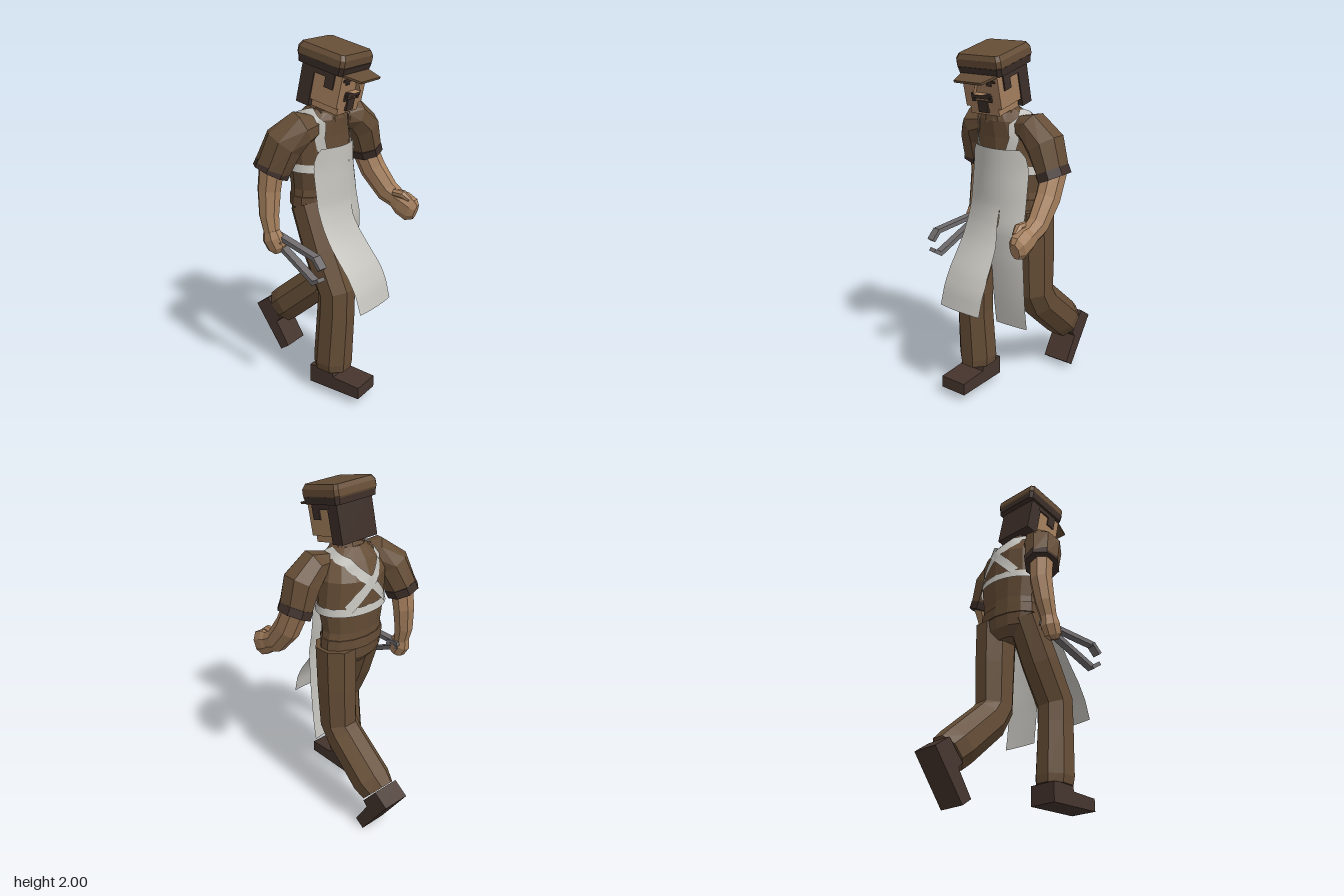
import * as THREE from 'three';

const V = (x, y, z) => new THREE.Vector3(x, y, z);
const rad = Math.PI / 180;

// Regular ring whose flat sides touch the given radius
const ringOf = n => Array.from({ length: n }, (_, k) => {
  const a = (k + 0.5) / n * Math.PI * 2, s = 1 / Math.cos(Math.PI / n);
  return [Math.cos(a) * s, Math.sin(a) * s];
});
const OCT = ringOf(8), ROUND = ringOf(14);
const SQUARE = [[1, -.88], [1, .88], [.88, 1], [-.88, 1], [-1, .88], [-1, -.88], [-.88, -1], [.88, -1]];

// Loft of rings along points [x, y, z, radius on ref axis, other radius]
function loft(pts, ref, ring = OCT, fixed = null) {
  const c = pts.map(p => V(p[0], p[1], p[2])), n = ring.length, pos = [];
  const rings = pts.map((p, i) => {
    const t = fixed ? fixed.clone()
      : c[Math.min(i + 1, c.length - 1)].clone().sub(c[Math.max(i - 1, 0)]).normalize();
    const u = ref.clone().addScaledVector(t, -ref.dot(t)).normalize();
    const v = t.clone().cross(u);
    return ring.map(([a, b]) => c[i].clone().addScaledVector(u, a * p[3]).addScaledVector(v, b * (p[4] ?? p[3])));
  });
  const tri = (...q) => q.forEach(p => pos.push(p.x, p.y, p.z));
  const last = c.length - 1;
  for (let k = 0; k < n; k++) {
    const m = (k + 1) % n;
    for (let i = 0; i < last; i++) {
      tri(rings[i][k], rings[i][m], rings[i + 1][m]);
      tri(rings[i][k], rings[i + 1][m], rings[i + 1][k]);
    }
    tri(c[0], rings[0][m], rings[0][k]);
    tri(c[last], rings[last][k], rings[last][m]);
  }
  const g = new THREE.BufferGeometry();
  g.setAttribute('position', new THREE.Float32BufferAttribute(pos, 3));
  g.computeVertexNormals();
  return g;
}

// Open sheet from a function of (column 0..1, row 0..1)
function sheet(fn, cols, rows) {
  const g = new THREE.PlaneGeometry(1, 1, cols, rows), p = g.attributes.position;
  for (let i = 0; i < p.count; i++) {
    const q = fn(p.getX(i) + 0.5, 0.5 - p.getY(i));
    p.setXYZ(i, q.x, q.y, q.z);
  }
  g.computeVertexNormals();
  return g;
}

// Piecewise linear lookup in rows [key, value...], keys rising
function look(table, key, col = 1) {
  let i = 0;
  while (i < table.length - 2 && key > table[i + 1][0]) i++;
  const a = table[i], b = table[i + 1];
  const f = THREE.MathUtils.clamp((key - a[0]) / (b[0] - a[0]), 0, 1);
  return a[col] + (b[col] - a[col]) * f;
}

export function createModel() {
  const model = new THREE.Group();
  const mat = (name, color, side = THREE.FrontSide) => {
    const m = new THREE.MeshStandardMaterial({ color, side });
    m.name = name;
    return m;
  };
  const cloth = mat('brown cloth', 0x654d36), skin = mat('skin', 0xa57f5d);
  const dark = mat('dark hair and trim', 0x3d2f29), leather = mat('boot leather', 0x45342d);
  const linen = mat('apron linen', 0xc6c4be, THREE.DoubleSide), iron = mat('iron', 0x6f6b6c);
  const add = (name, geo, material, parent = model) => {
    const m = new THREE.Mesh(geo, material);
    m.name = name;
    parent.add(m);
    return m;
  };
  const X = V(1, 0, 0), Y = V(0, 1, 0), Z = V(0, 0, 1);

  // Torso: [y, centre x, centre z, half width, half depth]
  const body = [[.98, .01, .02, .1, .07], [1.03, .01, .02, .18, .11], [1.12, .01, .02, .195, .12],
    [1.2, .005, .025, .185, .125], [1.34, 0, .035, .205, .148], [1.5, -.01, .035, .2, .148],
    [1.59, -.02, .065, .16, .125], [1.65, -.03, .085, .09, .085]];
  add('torso', loft(body.map(([y, x, z, a, b]) => [x, y, z, a, b]), X, ROUND, Y), cloth);
  add('shirtHem', loft([[.01, 1.1, .02, .2, .125], [.008, 1.16, .022, .198, .127]], X, ROUND, Y), cloth);
  add('collar', loft([[-.03, 1.6, .09, .105, .1], [-.035, 1.655, .1, .09, .085]], X), cloth);
  add('neck', loft([[-.03, 1.6, .1, .07], [-.035, 1.72, .13, .07]], X), skin);

  // Straps wrapped over the torso: points [angle from the front, height]
  const wrap = (a, y, off) => V(
    look(body, y, 1) + Math.sin(a * rad) * (look(body, y, 3) + off), y,
    look(body, y, 2) + Math.cos(a * rad) * (look(body, y, 4) + off));
  const strap = (name, pts, width) => {
    const table = pts.map((p, i) => [i / (pts.length - 1), ...p]);
    const at = t => wrap(look(table, t, 1), look(table, t, 2), .012);
    add(name, sheet((c, r) => {
      const t = at(Math.min(r + .02, 1)).sub(at(Math.max(r - .02, 0))).normalize();
      const a = look(table, r, 1) * rad, y = look(table, r, 2);
      const normal = V(Math.sin(a), y > 1.58 ? .8 : .15, Math.cos(a)).normalize();
      return at(r).addScaledVector(t.cross(normal).normalize(), (c - .5) * width);
    }, 1, 30), linen);
  };
  strap('waistStrap', [[45, 1.33], [180, 1.335], [315, 1.33]], .045);
  strap('leftStrap', [[25, 1.43], [40, 1.57], [88, 1.63], [140, 1.595], [180, 1.485], [218, 1.35]], .055);
  strap('rightStrap', [[-41, 1.43], [-48, 1.57], [-88, 1.63], [-140, 1.595], [-180, 1.485], [-218, 1.35]], .055);

  // Apron in two panels that part below the hip
  const panel = (name, bottom, left, right, depth) => add(name, sheet((c, r) => {
    const y = 1.445 + (bottom - 1.445) * r;
    const x = THREE.MathUtils.lerp(look(left, y), look(right, y), c);
    const bend = look([[.5, .35], [1, 1.2], [1.33, 2]], y);
    return V(x, y, look(depth, y) - bend * (x + .01) ** 2);
  }, 10, 26), linen);
  panel('apronRightPanel', .57, [[1.33, -.2], [1.4, -.195], [1.445, -.165]],
    [[.57, .085], [.73, .09], [.9, .07], [1.03, .04]],
    [[.57, .466], [.68, .438], [.77, .393], [.86, .33], [.93, .285], [1.02, .245], [1.12, .22], [1.33, .21]]);
  panel('apronLeftPanel', .405, [[.4, -.03], [.85, -.02], [1.03, .04]],
    [[.4, .18], [1.33, .18], [1.4, .17], [1.445, .14]],
    [[.4, .165], [.6, .195], [.8, .22], [1, .235], [1.12, .22], [1.33, .21]]);

  // Trouser legs: right one planted ahead, left one trailing
  add('rightLeg', loft([[-.095, 1.1, .03, .095, .1], [-.112, .85, .135, .1, .105], [-.122, .63, .24, .098, .1],
    [-.125, .5, .238, .095, .1], [-.125, .2, .222, .103, .103], [-.125, .155, .22, .095, .1]], X), cloth);
  add('leftLeg', loft([[.125, 1.1, .02, .105, .12], [.127, .85, .012, .105, .113], [.125, .6, .005, .1, .105],
    [.122, .52, -.045, .1, .105], [.12, .32, -.273, .106, .108], [.12, .27, -.33, .088, .104]], X), cloth);

  // Boots: side profile extruded across the foot
  const profile = new THREE.Shape([[0, 0], [.33, 0], [.33, .07], [.16, .08], [.15, .12], [0, .11]]
    .map(p => new THREE.Vector2(...p)));
  const bootGeo = new THREE.ExtrudeGeometry(profile, { depth: .164, bevelEnabled: false });
  bootGeo.translate(0, 0, -.082).rotateY(-Math.PI / 2);
  add('rightBoot', bootGeo, leather).position.set(-.125, .045, .12);
  const leftBoot = add('leftBoot', bootGeo, leather);
  leftBoot.position.set(.12, .27, -.48);
  leftBoot.rotation.x = .957;

  // Arms: sleeve, cuff, forearm, hand
  add('leftSleeve', loft([[.11, 1.56, .1, .06, .06], [.185, 1.565, .115, .09, .085],
    [.27, 1.49, .12, .104, .098], [.326, 1.335, .12, .098, .076]], Z), cloth);
  add('leftCuff', loft([[.314, 1.362, .12, .102, .083], [.334, 1.318, .12, .102, .083]], Z), dark);
  add('leftForearm', loft([[.325, 1.36, .11, .06, .075], [.332, 1.22, .18, .058, .075],
    [.338, 1.1, .28, .05, .066], [.338, 1.06, .36, .042, .055]], X), skin);
  add('leftHand', loft([[.338, 1.07, .33, .042, .05], [.333, 1.05, .38, .05, .07],
    [.333, 1.02, .44, .046, .07], [.335, 1.01, .47, .026, .045]], X), skin);
  add('leftThumb', loft([[.31, 1.11, .34, .022], [.307, 1.11, .4, .024], [.315, 1.085, .44, .015]], X), skin);
  add('rightSleeve', loft([[-.13, 1.55, .09, .06, .06], [-.205, 1.555, .06, .1, .085],
    [-.275, 1.48, 0, .105, .095], [-.312, 1.335, -.055, .098, .083]], Z), cloth);
  add('rightCuff', loft([[-.302, 1.362, -.047, .1, .086], [-.318, 1.318, -.06, .1, .086]], Z), dark);
  add('rightForearm', loft([[-.31, 1.36, -.055, .065], [-.318, 1.22, -.07, .06],
    [-.335, 1.08, -.06, .052], [-.342, .97, -.035, .04]], X), skin);
  add('rightHand', loft([[-.342, 1, -.04, .04, .045], [-.342, .955, -.03, .046, .06],
    [-.338, .905, -.005, .04, .055], [-.335, .88, .005, .022, .03]], X), skin);

  // Tongs held in the right hand
  const tongs = new THREE.Group();
  tongs.name = 'tongs';
  model.add(tongs);
  const bar = (name, a, b, w, h) => {
    const p = V(...a), q = V(...b);
    const m = add(name, new THREE.BoxGeometry(w, h, p.distanceTo(q)), iron, tongs);
    m.position.copy(p).lerp(q, .5);
    m.lookAt(q);
  };
  bar('upperArm', [-.305, .975, -.06], [-.37, .925, .28], .045, .025);
  bar('upperJaw', [-.37, .93, .275], [-.378, .875, .322], .05, .022);
  bar('lowerArm', [-.315, .95, -.05], [-.368, .785, .27], .045, .025);
  bar('lowerJaw', [-.368, .78, .262], [-.378, .815, .315], .05, .022);
  bar('rivet', [-.29, .955, .02], [-.36, .935, .02], .03, .03);

  // Head, tipped forward
  const head = new THREE.Group();
  head.name = 'head';
  head.position.set(-.035, 1.78, .15);
  head.rotation.x = .22;
  model.add(head);
  const box = (name, m, w, h, d, x, y, z) =>
    add(name, new THREE.BoxGeometry(w, h, d), m, head).position.set(x, y, z);
  box('face', skin, .236, .2, .2, 0, .01, .018);
  box('jaw', skin, .19, .06, .18, 0, -.1, .025);
  box('backHair', dark, .25, .235, .08, 0, -.012, -.09);
  box('moustache', dark, .12, .026, .026, 0, -.022, .122);
  box('goatee', dark, .064, .064, .03, 0, -.082, .112);
  for (const s of [-1, 1]) {
    box('sideburn', dark, .012, .09, .055, s * .12, .045, .05);
    box('sideHair', dark, .012, .05, .09, s * .12, .08, -.02);
    box('moustacheEnd', dark, .02, .036, .02, s * .055, -.037, .118);
    box('eyebrow', dark, .075, .014, .012, s * .062, .058, .12);
    box('eye', dark, .034, .011, .006, s * .058, .038, .12);
  }
  add('nose', loft([[0, .07, .115, .012, .012], [0, -.008, .125, .035, .028]], X, SQUARE, Y), skin, head);

  // Flat cap: band, crown, peak
  add('capBand', loft([[0, .085, -.02, .14], [0, .125, -.02, .146]], X, SQUARE, Y), dark, head);
  add('capCrown', loft([[0, .112, -.023, .138], [0, .13, -.023, .148], [0, .165, -.023, .147],
    [0, .19, -.023, .133]], X, SQUARE, Y), cloth, head);
  const peakShape = new THREE.Shape([[-.12, -.09], [.12, -.09], [.12, -.11], [.09, -.215], [-.09, -.215], [-.12, -.11]]
    .map(p => new THREE.Vector2(...p)).reverse());
  const peak = add('capPeak', new THREE.ExtrudeGeometry(peakShape, { depth: .012, bevelEnabled: false })
    .rotateX(-Math.PI / 2), cloth, head);
  peak.position.y = .09;
  peak.rotation.x = .08;

  return model;
}
